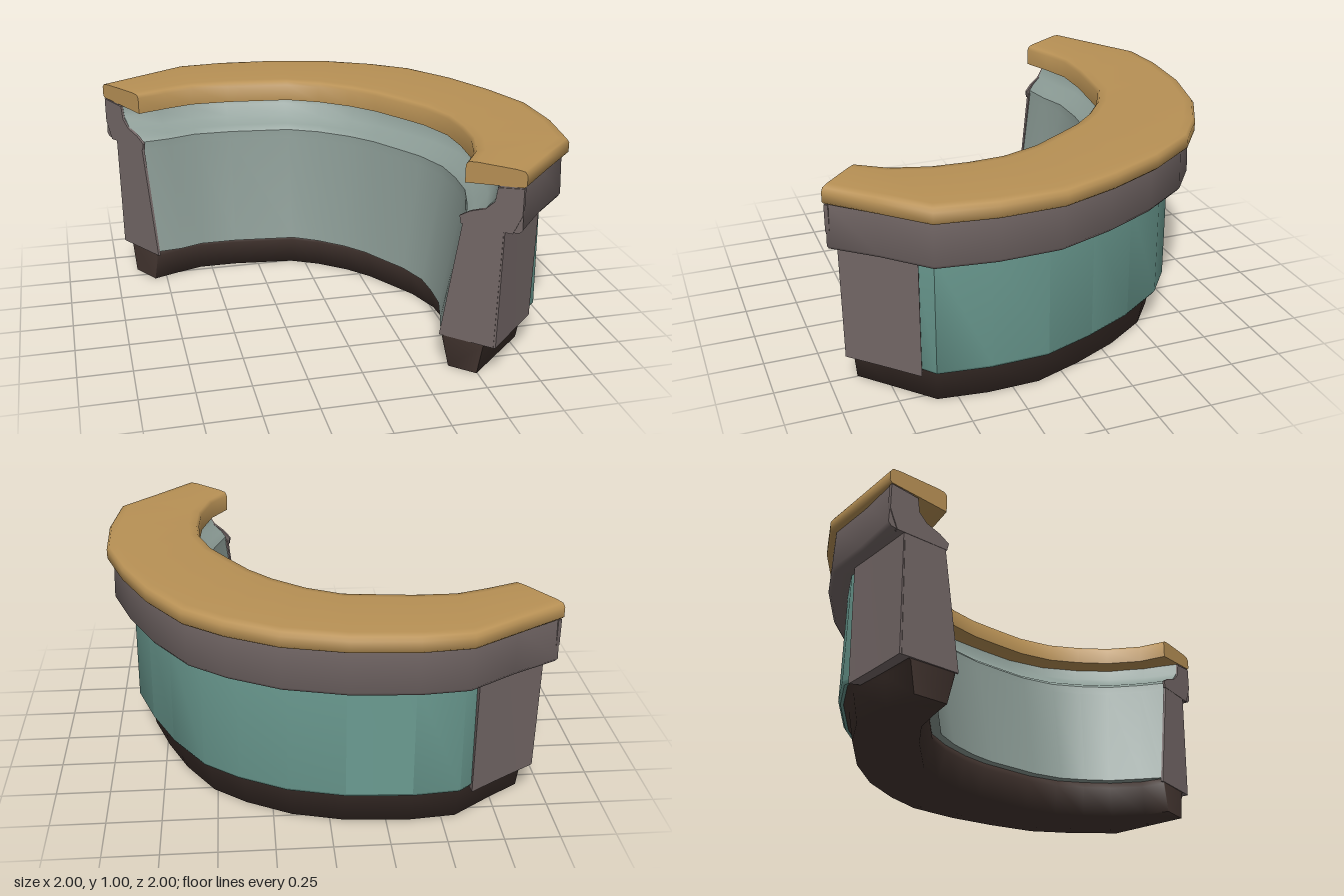
import * as THREE from 'three';
import { toCreasedNormals } from 'three/addons/utils/BufferGeometryUtils.js';

const mat = (name, color) => {
  const m = new THREE.MeshStandardMaterial({ color });
  m.name = name;
  return m;
};

// Plan of the counter top, from its right end round the back to its left end:
// outer x, outer z, inner x, inner z
const PLAN = [
  [-1, -0.72, -0.84, -0.47], [-0.785, -0.85, -0.7, -0.525], [-0.57, -0.98, -0.56, -0.57],
  [-0.35, -1, -0.37, -0.57], [-0.06, -0.98, -0.07, -0.535], [0.22, -0.91, 0.08, -0.46],
  [0.45, -0.79, 0.22, -0.35], [0.62, -0.66, 0.32, -0.24], [0.78, -0.43, 0.41, -0.1],
  [0.9, -0.18, 0.49, 0.03], [0.99, 0.08, 0.55, 0.2], [1, 0.37, 0.56, 0.36],
  [0.965, 0.64, 0.55, 0.52], [0.79, 0.82, 0.5, 0.69], [0.62, 1, 0.42, 0.81],
];
const LAST = PLAN.length - 1;
const IN = 0, OUT = 1;

function station(s) {
  const i = Math.min(Math.floor(s), LAST - 1), f = s - i;
  return PLAN[i].map((v, k) => v + (PLAN[i + 1][k] - v) * f);
}

// Sweeps a closed profile along the plan. Each profile point is
// [edge it follows, outward offset, height], counterclockwise.
// inTuck / outTuck shift the inner / outer points at the two end stations.
function sweep(from, to, profile, { crease = 0.6, inTuck = 0, outTuck = 0 } = {}) {
  const stops = [from];
  for (let s = Math.floor(from) + 1; s < to; s++) stops.push(s);
  stops.push(to);
  const pos = [], index = [], n = profile.length;
  stops.forEach((s, k) => {
    const [ox, oz, ix, iz] = station(s);
    const len = Math.hypot(ox - ix, oz - iz);
    const dx = (ox - ix) / len, dz = (oz - iz) / len;
    const end = k === 0 || k === stops.length - 1;
    for (const [edge, offset, y] of profile) {
      const o = offset + (end ? (edge === OUT ? outTuck : inTuck) : 0);
      pos.push((edge === OUT ? ox : ix) + dx * o, y, (edge === OUT ? oz : iz) + dz * o);
    }
  });
  for (let k = 0; k < stops.length - 1; k++) {
    for (let j = 0; j < n; j++) {
      const a = k * n + j, b = k * n + (j + 1) % n;
      index.push(a, b, b + n, a, b + n, a + n);
    }
  }
  // End caps
  const flat = profile.map(([e, o, y]) => new THREE.Vector2(e * 0.4 + o, y));
  const top = (stops.length - 1) * n;
  for (const [a, b, c] of THREE.ShapeUtils.triangulateShape(flat, [])) {
    const ccw = THREE.ShapeUtils.area([flat[a], flat[b], flat[c]]) > 0;
    const [p, q] = ccw ? [b, c] : [c, b];
    index.push(a, q, p, top + a, top + p, top + q);
  }
  const g = new THREE.BufferGeometry();
  g.setAttribute('position', new THREE.Float32BufferAttribute(pos, 3));
  g.setIndex(index);
  return toCreasedNormals(g, crease);
}

export function createModel() {
  const wood = mat('golden wood', 0xb89155);
  const stone = mat('mauve grey', 0x746867);
  const teal = mat('teal panel', 0x6a9a90);
  const sage = mat('sage grey', 0x8a9a94);
  const dark = mat('dark brown', 0x42342f);

  const group = new THREE.Group();
  group.name = 'curvedCounter';
  const add = (name, geometry, material) => {
    const m = new THREE.Mesh(geometry, material);
    m.name = name;
    group.add(m);
  };

  // Worktop with softened upper edges
  add('counterTop', sweep(0, LAST, [
    [IN, 0, 0.9], [OUT, -0.01, 0.925], [OUT, 0, 0.935], [OUT, 0, 0.98],
    [OUT, -0.012, 0.996], [OUT, -0.05, 1], [IN, 0.05, 1], [IN, 0.012, 0.996], [IN, 0, 0.98],
  ], { crease: 1 }), wood);

  // Band under the worktop, along the outside
  add('outerTrim', sweep(0.02, LAST - 0.02, [
    [OUT, -0.135, 0.705], [OUT, -0.035, 0.718], [OUT, -0.022, 0.735],
    [OUT, -0.03, 0.93], [OUT, -0.135, 0.92],
  ], { crease: 1.2, outTuck: 0.015 }), stone);

  // Outer panel between the pillars
  add('outerPanel', sweep(1.6, LAST - 1.6, [
    [OUT, -0.25, 0.17], [OUT, -0.115, 0.17], [OUT, -0.105, 0.185],
    [OUT, -0.112, 0.73], [OUT, -0.25, 0.73],
  ], { outTuck: -0.01 }), teal);

  // Inner wall, leaning out as it rises, with a sloping ledge that runs under the worktop
  add('innerWall', sweep(0.05, LAST - 0.05, [
    [IN, -0.115, 0.17], [OUT, -0.13, 0.17], [OUT, -0.13, 0.91], [IN, 0.12, 0.912],
    [IN, 0.11, 0.85], [IN, 0.07, 0.8], [IN, 0.01, 0.77], [IN, -0.018, 0.745], [IN, -0.022, 0.7],
  ], { inTuck: 0.03 }), sage);

  // Plinth, tapering towards the floor
  add('plinth', sweep(0.06, LAST - 0.04, [
    [IN, -0.04, 0], [OUT, -0.178, 0], [OUT, -0.155, 0.14], [OUT, -0.12, 0.18],
    [IN, -0.07, 0.18], [IN, -0.075, 0.14],
  ], { crease: 1.5 }), dark);

  // Pillars at both ends: an end slab, its upper collar and an outer face
  for (const [side, range] of [
    ['right', (a, b) => [a, b]],
    ['left', (a, b) => [LAST - b, LAST - a]],
  ]) {
    add(side + 'EndPillar', sweep(...range(0.01, 0.1), [
      [IN, -0.09, 0.15], [OUT, -0.105, 0.15], [OUT, -0.09, 0.73], [IN, 0, 0.73],
    ]), stone);
    add(side + 'EndCollar', sweep(...range(0, 0.08), [
      [IN, -0.01, 0.71], [OUT, -0.05, 0.71], [OUT, -0.01, 0.8], [OUT, -0.01, 0.92],
      [IN, 0.15, 0.905], [IN, 0.14, 0.84], [IN, 0.1, 0.8], [IN, 0.03, 0.775], [IN, -0.018, 0.745],
    ], { crease: 0.9 }), stone);
    add(side + 'PillarFace', sweep(...range(0.02, 1.7), [
      [OUT, -0.24, 0.15], [OUT, -0.095, 0.15], [OUT, -0.085, 0.73], [OUT, -0.24, 0.73],
    ]), stone);
  }
  return group;
}
